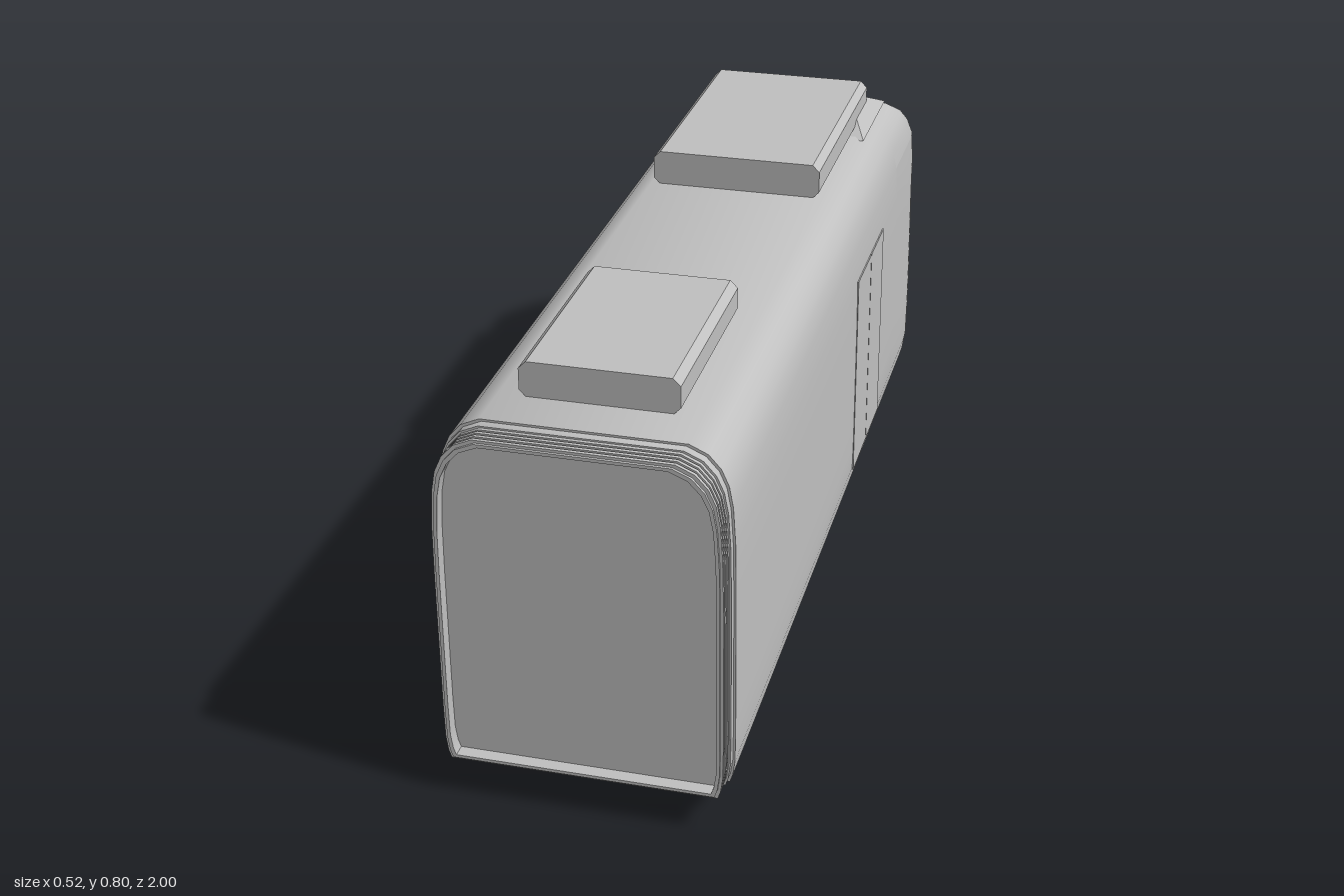
import * as THREE from 'three';
import { toCreasedNormals } from 'three/addons/utils/BufferGeometryUtils.js';

// body stations: height, half width, nose reach towards -z
const ROWS = [
  [0.065, 0.25, 0.982], [0.08, 0.255, 0.987], [0.11, 0.259, 0.992], [0.18, 0.26, 0.998],
  [0.25, 0.26, 1.0], [0.35, 0.26, 0.988], [0.45, 0.26, 0.97], [0.55, 0.259, 0.945],
  [0.62, 0.255, 0.92], [0.66, 0.248, 0.857], [0.69, 0.235, 0.806], [0.715, 0.213, 0.766],
  [0.73, 0.18, 0.74],
];
const NOSE_START = -0.6, SIDE = 9, FRONT = 12;

export function createModel() {
  const model = new THREE.Group();
  const grey = new THREE.MeshStandardMaterial({ color: 0xc0c0c0, side: THREE.DoubleSide });
  grey.name = 'light grey';
  const glass = new THREE.MeshStandardMaterial({ color: 0x343d44, side: THREE.DoubleSide });
  glass.name = 'dark glass';

  const add = (name, geometry, material = grey) => {
    const mesh = new THREE.Mesh(geometry, material);
    mesh.name = name;
    model.add(mesh);
    return mesh;
  };
  const toShape = (pts) => new THREE.Shape(pts.map(([x, y]) => new THREE.Vector2(x, y)));
  // prism along z with soft shading only across shallow edges
  const prism = (pts, z0, z1, hole) => {
    const shape = toShape(pts);
    if (hole) shape.holes.push(toShape(hole));
    const g = new THREE.ExtrudeGeometry(shape, { depth: z1 - z0, bevelEnabled: false });
    g.translate(0, 0, z0);
    return toCreasedNormals(g, 0.6);
  };
  // body cross-section, drawn in from the outside by an inset
  const section = (inset = 0) => {
    const half = ROWS.map(([y, w]) => [w - inset, 0.3975 + (y - 0.3975) * (1 - inset / 0.3325)]);
    return [...half, ...half.map(([x, y]) => [-x, y]).reverse()];
  };

  // main body and stepped rear edge
  add('body', prism(section(), NOSE_START, 0.935));
  add('bodyRearEdge', prism(section(0.004), 0.935, 0.952));

  // hollow gangway bellows with a recessed end wall
  for (let i = 0; i < 4; i++) {
    const z = 0.952 + i * 0.012;
    add('bellowsRib', prism(section(0.007), z, z + 0.007, section(0.018)));
    add('bellowsFold', prism(section(0.012), z + 0.007, z + 0.012, section(0.018)));
  }
  add('gangwayWall', prism(section(0.015), 0.95, 0.975));

  // plan outline of the nose at one station, from the +x side round to the -x side
  const outline = ([y, w, reach]) => {
    const start = Math.min(0.75, reach - 0.05);
    const n = 3 + Math.max(0, (y - 0.45) / 0.28) * 1.5;
    const glassZ = 0.91 - 0.04 * THREE.MathUtils.clamp((y - 0.25) / 0.37, 0, 1);
    const frac = THREE.MathUtils.clamp((glassZ - start) / (reach - start), 0.3, 0.75);
    const edge = Math.asin(Math.pow(frac, n / 2));
    const half = [[w, NOSE_START]];
    for (let j = 0; j <= SIDE + FRONT; j++) {
      const t = j <= SIDE ? edge * j / SIDE : edge + (Math.PI / 2 - edge) * (j - SIDE) / FRONT;
      const c = Math.max(0, Math.cos(t));
      half.push([w * Math.pow(c, 2 / n), -start - (reach - start) * Math.pow(Math.sin(t), 2 / n)]);
    }
    return [...half, ...half.slice(0, -1).reverse().map(([x, z]) => [-x, z])];
  };
  // skin over stacked outlines, with the windscreen as a second face group
  const noseSkin = (rows, isGlassRow) => {
    const loops = rows.map(outline), cols = loops[0].length;
    const pos = [], plain = [], dark = [];
    loops.forEach((loop, i) => loop.forEach(([x, z]) => pos.push(x, rows[i][0], z)));
    for (let i = 0; i < rows.length - 1; i++) {
      for (let j = 0; j < cols - 1; j++) {
        const a = i * cols + j, b = a + 1, c = a + cols, d = c + 1;
        const inGlass = isGlassRow(rows[i][0]) && j > SIDE && j < cols - 2 - SIDE;
        (inGlass ? dark : plain).push(a, b, c, b, d, c);
      }
    }
    const g = new THREE.BufferGeometry();
    g.setAttribute('position', new THREE.Float32BufferAttribute(pos, 3));
    g.setIndex([...plain, ...dark]);
    g.addGroup(0, plain.length, 0);
    if (dark.length) g.addGroup(plain.length, dark.length, 1);
    g.computeVertexNormals();
    return g;
  };
  add('noseAndWindscreen', noseSkin(ROWS.slice(0, 9), (y) => y >= 0.25), [grey, glass]);
  add('noseRoofSlope', noseSkin(ROWS.slice(8), () => false), [grey, glass]);

  // flat floor and roof closing the nose
  const cap = (row, turn) => {
    const g = new THREE.ShapeGeometry(toShape(outline(row).map(([x, z]) => [x, -turn * z])));
    g.rotateX(-turn * Math.PI / 2);
    g.translate(0, row[0], 0);
    return g;
  };
  add('noseFloor', cap(ROWS[0], -1));
  add('noseRoof', cap(ROWS[ROWS.length - 1], 1));

  // roof equipment boxes with chamfered long edges
  const roofBox = (name, w, top, z0, z1) => {
    const c = 0.014, b = 0.728;
    const half = [[w - c, b], [w, b + c], [w, top - c], [w - c, top]];
    add(name, prism([...half, ...half.map(([x, y]) => [-x, y]).reverse()], z0, z1));
  };
  roofBox('frontRoofBox', 0.174, 0.8, -0.65, -0.13);
  roofBox('rearRoofBox', 0.142, 0.796, 0.44, 0.84);

  // low fairing under the front roof box, narrowing as it rises
  const fairing = prism([[0.48, 0.725], [0.74, 0.725], [0.65, 0.765], [0.6, 0.765], [0.54, 0.757]], -0.2, 0.2);
  fairing.rotateY(Math.PI / 2);
  const p = fairing.attributes.position;
  for (let i = 0; i < p.count; i++) {
    p.setX(i, p.getX(i) * (1 - 4.5 * (p.getY(i) - 0.725)));
  }
  fairing.computeVertexNormals();
  add('roofFairing', fairing);

  // twin door leaves on both sides
  for (const side of [1, -1]) {
    for (const z of [-0.2045, -0.3495]) {
      const leaf = add(side > 0 ? 'leftDoorLeaf' : 'rightDoorLeaf', new THREE.BoxGeometry(0.006, 0.445, 0.142));
      leaf.position.set(side * 0.2585, 0.3275, z);
    }
  }

  // flanged wheels and axles
  const disc = (name, r, w, x, y, z) => {
    const g = new THREE.CylinderGeometry(r, r, w, 40);
    g.rotateZ(Math.PI / 2);
    add(name, g).position.set(x, y, z);
  };
  for (const z of [0.19, 0.58]) {
    disc('axle', 0.009, 0.32, 0, 0.067, z);
    for (const side of [1, -1]) {
      disc('wheel', 0.06, 0.026, side * 0.167, 0.066, z);
      disc('wheelFlange', 0.066, 0.008, side * 0.159, 0.066, z);
    }
  }
  return model;
}
